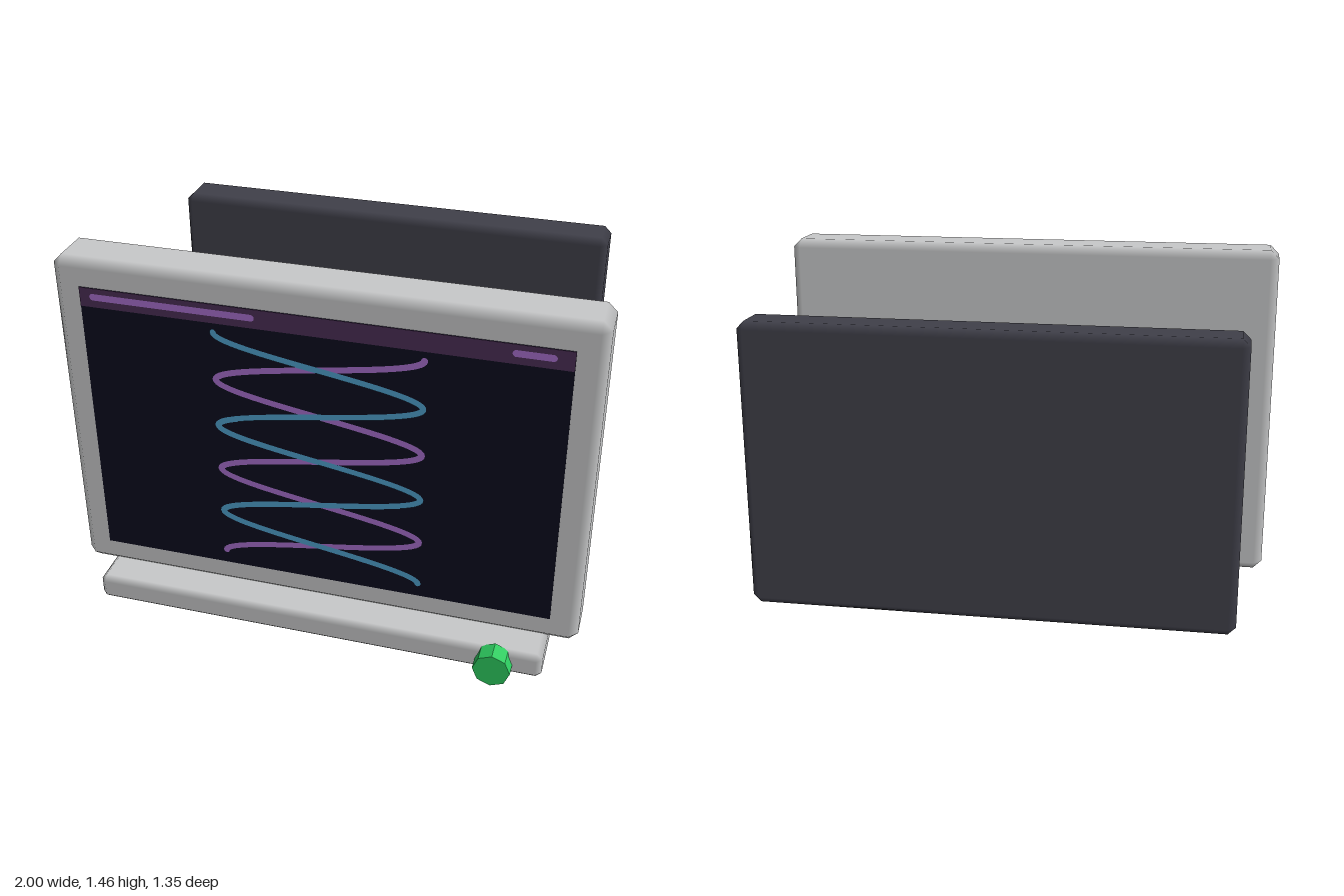
import * as THREE from 'three';
import { ConvexGeometry } from 'three/addons/geometries/ConvexGeometry.js';
import { mergeGeometries } from 'three/addons/utils/BufferGeometryUtils.js';

const mat = (name, color) => {
  const m = new THREE.MeshStandardMaterial({ color });
  m.name = name;
  return m;
};

// Box with chamfered edges; normals follow the flat faces so chamfers shade softly
function chamferBox(w, h, d, c) {
  const half = [w / 2, h / 2, d / 2];
  const points = [];
  for (let axis = 0; axis < 3; axis++)
    for (const sx of [-1, 1]) for (const sy of [-1, 1]) for (const sz of [-1, 1])
      points.push(new THREE.Vector3(...[sx, sy, sz].map((s, i) => s * (half[i] - (i === axis ? 0 : c)))));
  const geo = new ConvexGeometry(points);
  const pos = geo.attributes.position, nor = geo.attributes.normal;
  for (let i = 0; i < pos.count; i++) {
    const p = [pos.getX(i), pos.getY(i), pos.getZ(i)];
    nor.setXYZ(i, ...p.map((v, k) => (Math.abs(v) > half[k] - c * 0.5 ? Math.sign(v) : 0)));
  }
  return geo;
}

// Flat stroke made of short overlapping strips along a list of points
function stroke(points, width) {
  const strips = [];
  for (let i = 0; i < points.length - 1; i++) {
    const a = points[i], b = points[i + 1];
    const g = new THREE.PlaneGeometry(a.distanceTo(b) + 0.006, width);
    g.rotateZ(Math.atan2(b.y - a.y, b.x - a.x));
    g.translate((a.x + b.x) / 2, (a.y + b.y) / 2, 0);
    strips.push(g);
  }
  for (const p of [points[0], points[points.length - 1]])
    strips.push(new THREE.CircleGeometry(width / 2, 12).translate(p.x, p.y, 0));
  return mergeGeometries(strips);
}

export function createModel() {
  const model = new THREE.Group();
  const shell = mat('light grey shell', 0xc8c9ca);
  const dark = mat('charcoal', 0x40404a);
  const metal = mat('grey metal', 0x9297a2);
  const glass = mat('screen navy', 0x0a0a1e);
  const header = mat('header plum', 0x4a2e55);
  const violet = mat('violet', 0xa66ecb);
  const blue = mat('sky blue', 0x4fa0cc);
  const green = mat('green', 0x2ecc60);

  const add = (name, geo, material, x, y, z) => {
    const mesh = new THREE.Mesh(geo, material);
    mesh.name = name;
    mesh.position.set(x, y, z);
    model.add(mesh);
    return mesh;
  };
  // Chamfered block given by its extents
  const block = (name, material, w, y0, y1, z0, z1, c) =>
    add(name, chamferBox(w, y1 - y0, z1 - z0, c), material, 0, (y0 + y1) / 2, (z0 + z1) / 2);

  // Main bodies
  block('displayHousing', shell, 2, 0.112, 1.466, 0.285, 0.495, 0.034);
  block('controlBar', shell, 1.78, 0.022, 0.13, 0.38, 0.622, 0.022);
  block('mountBlock', metal, 0.21, 0.683, 0.894, 0.167, 0.31, 0.017);
  block('arm', metal, 0.21, 0.683, 0.894, -0.52, 0.173, 0.018);
  block('wallPanel', dark, 1.78, 0.253, 1.322, -0.675, -0.5, 0.028);

  // Knob
  const knob = new THREE.CylinderGeometry(0.071, 0.071, 0.075, 8).toNonIndexed();
  knob.computeVertexNormals();
  add('knob', knob.rotateX(Math.PI / 2), green, 0.71, 0.073, 0.637);

  // Screen and header
  add('screen', new THREE.BoxGeometry(1.785, 1.14, 0.004), glass, 0, 0.79, 0.496);
  add('headerBar', new THREE.BoxGeometry(1.785, 0.075, 0.003), header, 0, 1.3225, 0.498);
  for (const [name, x0, x1] of [['titleLine', -0.84, -0.24], ['statusLine', 0.695, 0.82]])
    add(name, stroke([new THREE.Vector2(x0, 1.327), new THREE.Vector2(x1, 1.327)], 0.026), violet, 0, 0, 0.502);

  // Two crossing waves form a double helix
  for (const [name, side, material, z] of [['violetWave', 1, violet, 0.5], ['blueWave', -1, blue, 0.502]]) {
    const points = [];
    for (let i = 0; i <= 160; i++) {
      const t = i / 160;
      points.push(new THREE.Vector2(side * 0.385 * Math.cos(5 * Math.PI * t), 1.25 - 0.97 * t));
    }
    add(name, stroke(points, 0.024), material, 0, 0, z);
  }
  return model;
}
